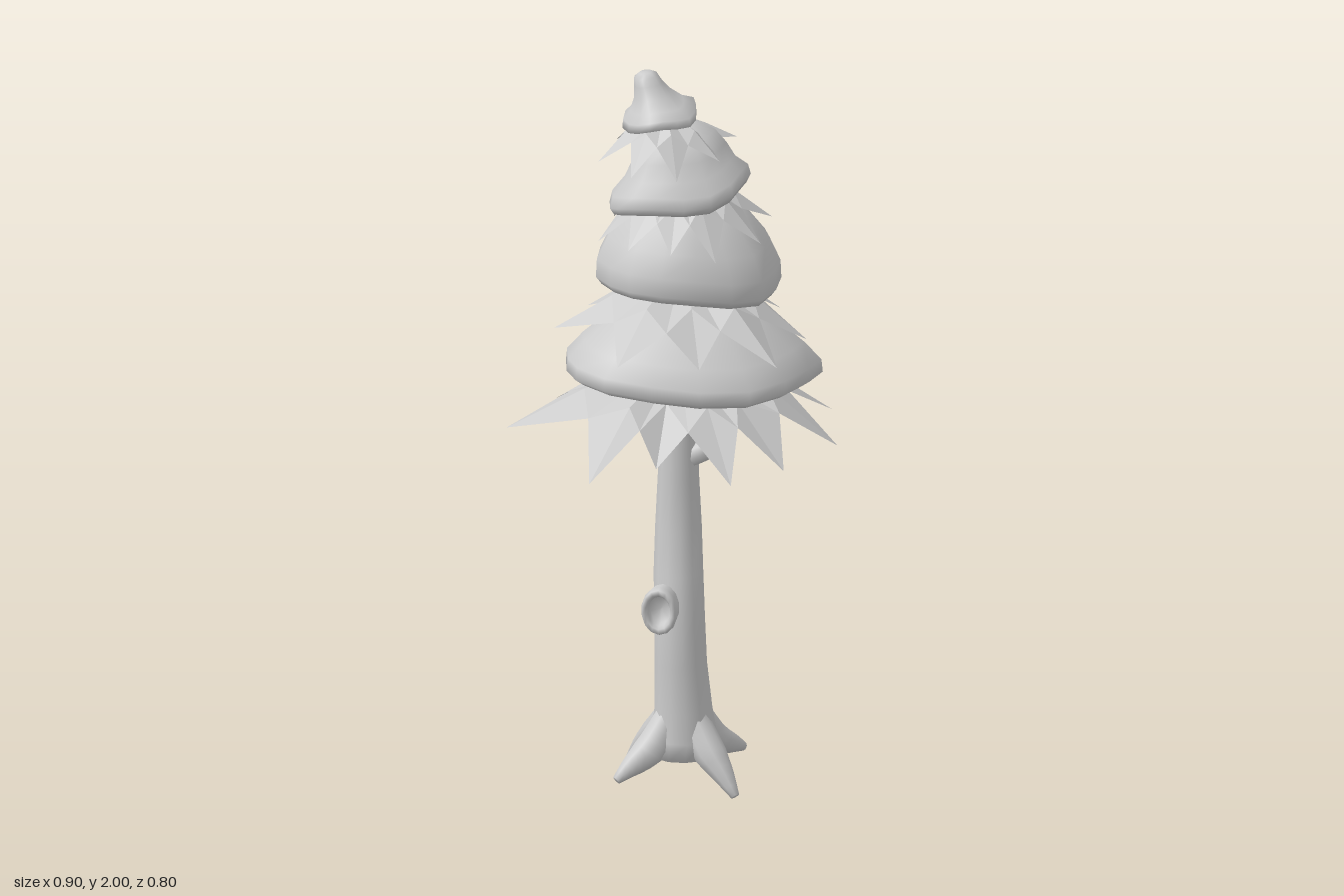
import * as THREE from 'three';

const bark = new THREE.MeshStandardMaterial({ color: 0xcccccc, side: THREE.DoubleSide });
const leaf = new THREE.MeshStandardMaterial({ color: 0xcccccc, side: THREE.DoubleSide });
const needles = new THREE.MeshStandardMaterial({ color: 0xcccccc, side: THREE.DoubleSide, flatShading: true });

// Smooth skin over a stack of closed rings (arrays of Vector3, equal length)
function loft(rings) {
  const n = rings[0].length, index = [];
  for (let r = 0; r < rings.length - 1; r++) {
    for (let i = 0; i < n; i++) {
      const a = r * n + i, b = r * n + (i + 1) % n;
      index.push(a, a + n, b, b, a + n, b + n);
    }
  }
  const geo = new THREE.BufferGeometry().setFromPoints(rings.flat());
  geo.setIndex(index);
  geo.computeVertexNormals();
  return geo;
}

function ring(n, fn) {
  return Array.from({ length: n }, (_, i) => fn((i / n) * Math.PI * 2));
}

function part(name, geo, mat) {
  const mesh = new THREE.Mesh(geo, mat);
  mesh.name = name;
  return mesh;
}

// Tapering limb along a curve, with a radius at each control point
function limb(points, radii, sides = 8, steps = 8) {
  const curve = new THREE.CatmullRomCurve3(points.map(p => new THREE.Vector3(...p)));
  const { normals, binormals } = curve.computeFrenetFrames(steps);
  const rings = [];
  for (let s = 0; s <= steps; s++) {
    const t = s / steps, f = t * (radii.length - 1);
    const k = Math.min(Math.floor(f), radii.length - 2);
    const r = THREE.MathUtils.lerp(radii[k], radii[k + 1], f - k);
    const c = curve.getPoint(t);
    rings.push(ring(sides, a => c.clone()
      .addScaledVector(normals[s], Math.cos(a) * r)
      .addScaledVector(binormals[s], Math.sin(a) * r)));
  }
  const end = curve.getPoint(1);
  rings.push(ring(sides, () => end.clone()));
  return loft(rings);
}

// Rounded bough layer: profile rows are [scale, y, shiftX, shiftZ]
function bough({ x, z, rx, rz, tilt, wave, phase, profile }) {
  return loft(profile.map(([s, y, dx = 0, dz = 0]) => ring(16, a => {
    const r = s * (1 + 0.035 * Math.cos(5 * a + phase));
    const px = Math.cos(a) * rx * r, pz = Math.sin(a) * rz * r;
    const dy = tilt * px + wave * s * s * Math.sin(3 * a + phase);
    return new THREE.Vector3(x + dx + px, y + dy, z + dz + pz);
  })));
}

// Skirt of pointed, ridged leaves hanging from a small crown
function skirt({ x, z, top, valleyY, valley, tips }) {
  const c = new THREE.Vector3(x, top, z), pos = [];
  const n = tips.length;
  const P = tips.map(t => new THREE.Vector3(...t));
  const V = P.map((p, i) => {
    const q = P[(i + 1) % n];
    const a = Math.atan2(p.z - z, p.x - x), b = Math.atan2(q.z - z, q.x - x);
    const mid = Math.atan2(Math.sin(a) + Math.sin(b), Math.cos(a) + Math.cos(b));
    return new THREE.Vector3(x + Math.cos(mid) * valley, valleyY, z + Math.sin(mid) * valley);
  });
  const tri = (...v) => v.forEach(p => pos.push(p.x, p.y, p.z));
  P.forEach((p, i) => {
    const l = V[(i + n - 1) % n], r = V[i];
    // raised point on the leaf's ridge
    const m = c.clone().lerp(p, 0.55);
    m.y = THREE.MathUtils.lerp(top, valleyY, 0.62);
    tri(c, m, l); tri(c, r, m);
    tri(m, p, l); tri(m, r, p);
  });
  const geo = new THREE.BufferGeometry();
  geo.setAttribute('position', new THREE.Float32BufferAttribute(pos, 3));
  geo.computeVertexNormals();
  return geo;
}

export function createModel() {
  const tree = new THREE.Group();
  tree.name = 'pineTree';

  // Trunk sections: y, centre x, centre z, radius x, radius z
  const sections = [
    [0.08, 0.025, 0.04, 0.03, 0.03], [0.09, 0.025, 0.04, 0.088, 0.09],
    [0.14, 0.03, 0.04, 0.09, 0.092], [0.22, 0.028, 0.043, 0.078, 0.08],
    [0.35, 0.02, 0.05, 0.071, 0.07], [0.48, 0.018, 0.043, 0.068, 0.068],
    [0.6, 0.016, 0.027, 0.067, 0.066], [0.72, 0.018, 0.005, 0.063, 0.06],
    [0.86, 0.018, 0.003, 0.056, 0.056], [1.0, 0.02, 0.005, 0.05, 0.047],
    [1.14, 0.02, 0.005, 0.046, 0.044], [1.14, 0.02, 0.005, 0, 0]];
  tree.add(part('trunk', loft(sections.map(([y, x, z, rx, rz]) =>
    ring(12, a => new THREE.Vector3(x + Math.cos(a) * rx, y, z + Math.sin(a) * rz)))), bark));

  // Roots: tips spread around the trunk foot
  const roots = [[0.155, 0.012, 0.19], [0.2, 0.07, -0.06], [-0.1, 0.014, -0.155], [-0.16, 0.045, 0.125]];
  for (const [x, y, z] of roots) {
    const at = (t, h) => [0.028 + (x - 0.028) * t, h, 0.042 + (z - 0.042) * t];
    tree.add(part('root', limb([at(0.2, 0.2), at(0.5, 0.115), at(0.76, 0.06 + y * 0.45), at(1, y)],
      [0.04, 0.046, 0.031, 0.012]), bark));
  }

  // Two bare branches curling up into the foliage
  tree.add(part('leftBranch', limb([[0.03, 0.91, 0.01], [0.09, 0.945, 0.03], [0.145, 0.985, 0.04], [0.155, 1.08, 0.045]],
    [0.03, 0.032, 0.022, 0.01]), bark));
  tree.add(part('rightBranch', limb([[0.01, 0.91, -0.01], [-0.04, 0.965, -0.06], [-0.085, 1.015, -0.125], [-0.1, 1.08, -0.15]],
    [0.03, 0.026, 0.02, 0.008]), bark));

  // Hollow knot on the front of the trunk
  const knotProfile = [[0.046, 0], [0.05, 0.045], [0.046, 0.06], [0.036, 0.06], [0.031, 0.05], [0.029, 0.025], [0, 0.022]]
    .map(p => new THREE.Vector2(...p));
  const knot = part('knot', new THREE.LatheGeometry(knotProfile, 14), bark);
  knot.rotation.set(Math.PI / 2, 0, 0.3);
  knot.scale.set(1, 1, 1.35);
  knot.position.set(-0.03, 0.52, 0.08);
  tree.add(knot);

  // Rounded bough layers, bottom to top
  const boughs = [
    { x: 0.05, z: 0.015, rx: 0.345, rz: 0.28, tilt: -0.04, wave: 0.008, phase: 0.4,
      profile: [[0.3, 1.19], [0.75, 1.165], [0.93, 1.145], [1, 1.16], [0.99, 1.195], [0.86, 1.245], [0.66, 1.305], [0.45, 1.36], [0.2, 1.4], [0, 1.41]] },
    { x: 0.05, z: -0.005, rx: 0.25, rz: 0.22, tilt: -0.06, wave: 0.008, phase: 2,
      profile: [[0.3, 1.44], [0.75, 1.42], [0.94, 1.4], [1, 1.42], [0.99, 1.47], [0.87, 1.535], [0.66, 1.6], [0.45, 1.65], [0.2, 1.68], [0, 1.69]] },
    { x: 0.02, z: 0, rx: 0.19, rz: 0.155, tilt: 0.17, wave: 0.014, phase: 1,
      profile: [[0.3, 1.68], [0.75, 1.66], [0.94, 1.645], [1, 1.665], [0.96, 1.695], [0.78, 1.73], [0.66, 1.775], [0.5, 1.82], [0.2, 1.86], [0, 1.87]] },
    { x: -0.03, z: 0, rx: 0.1, rz: 0.115, tilt: 0.16, wave: 0.008, phase: 2.6,
      profile: [[0.3, 1.88], [0.8, 1.865], [1, 1.87], [0.98, 1.893], [0.72, 1.912, -0.008], [0.5, 1.94, -0.02, -0.006],
        [0.37, 1.97, -0.032, -0.012], [0.31, 1.99, -0.038, -0.016], [0.17, 2, -0.04, -0.016], [0, 2, -0.04, -0.016]] }];
  boughs.forEach(b => tree.add(part('bough', bough(b), leaf)));

  // Pointed needle skirts hanging below each bough
  const skirts = [
    { x: 0.02, z: 0, top: 1.2, valleyY: 1.08, valley: 0.3, tips: [
      [0.44, 0.96, 0.08], [0.275, 0.97, 0.315], [0.125, 0.96, 0.4], [-0.07, 0.99, 0.33], [-0.255, 0.97, 0.38], [-0.45, 1.03, 0.06],
      [-0.29, 1.0, -0.265], [-0.06, 0.98, -0.4], [0.235, 0.98, -0.4], [0.45, 0.97, -0.2]] },
    { x: 0.03, z: 0, top: 1.46, valleyY: 1.335, valley: 0.225, tips: [
      [0.36, 1.25, 0.04], [0.26, 1.25, 0.28], [0.05, 1.25, 0.28], [-0.17, 1.26, 0.27], [-0.32, 1.3, 0.035],
      [-0.21, 1.29, -0.18], [-0.02, 1.27, -0.31], [0.18, 1.27, -0.29], [0.31, 1.27, -0.17]] },
    { x: 0.03, z: 0, top: 1.73, valleyY: 1.62, valley: 0.16, tips: [
      [0.275, 1.57, -0.05], [0.23, 1.55, 0.12], [0.1, 1.53, 0.22], [-0.02, 1.55, 0.2], [-0.13, 1.55, 0.15],
      [-0.2, 1.54, 0.03], [-0.15, 1.56, -0.11], [-0.02, 1.55, -0.2], [0.11, 1.57, -0.21], [0.22, 1.57, -0.16]] },
    { x: -0.02, z: 0, top: 1.9, valleyY: 1.825, valley: 0.11, tips: [
      [0.18, 1.805, -0.03], [0.12, 1.78, 0.1], [0, 1.745, 0.16], [-0.12, 1.75, 0.13], [-0.2, 1.765, 0.03],
      [-0.14, 1.78, -0.11], [0, 1.775, -0.17], [0.1, 1.8, -0.13]] }];
  skirts.forEach(s => tree.add(part('needleSkirt', skirt(s), needles)));

  return tree;
}
